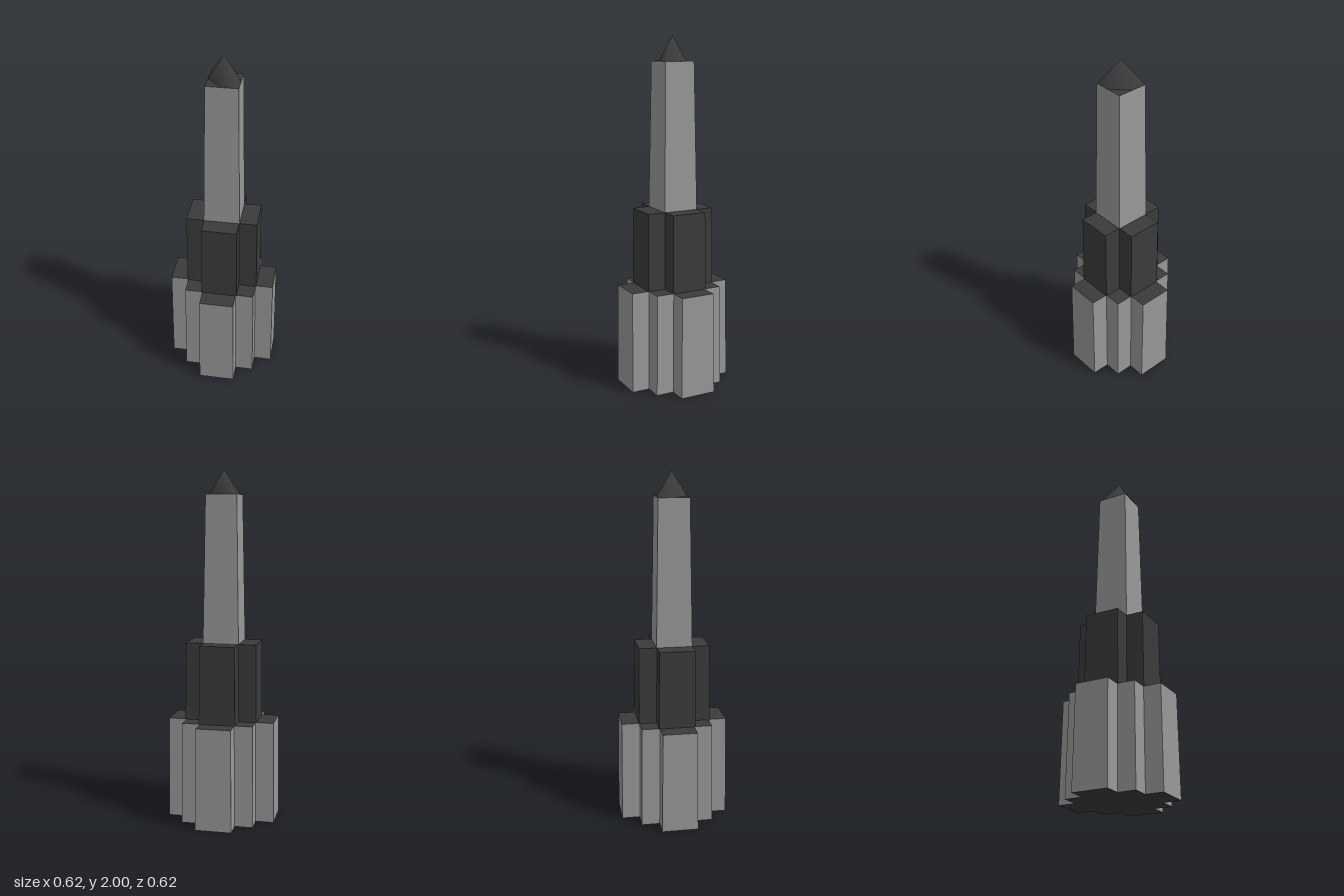
import * as THREE from 'three';
import { mergeVertices } from 'three/addons/utils/BufferGeometryUtils.js';

const grey = new THREE.MeshStandardMaterial({ color: 0x989898 });
const dark = new THREE.MeshStandardMaterial({ color: 0x3b3b3b });

// Repeat a quarter outline of [x, z] corners four times, drawn in by inset
function outline(quarter, inset) {
  const points = [];
  for (let k = 0; k < 4; k++) {
    for (const [a, b] of quarter) {
      let x = a - inset, z = b - inset;
      for (let i = 0; i < k; i++) [x, z] = [-z, x];
      points.push(new THREE.Vector2(x, z));
    }
  }
  return points;
}

// Tapered side walls between two outlines
function walls(lower, upper, y0, y1) {
  const positions = [];
  lower.forEach((p, i) => {
    const j = (i + 1) % lower.length;
    const q = lower[j], r = upper[i], s = upper[j];
    positions.push(
      p.x, y0, p.y, r.x, y1, r.y, q.x, y0, q.y,
      r.x, y1, r.y, s.x, y1, s.y, q.x, y0, q.y);
  });
  const geometry = new THREE.BufferGeometry();
  geometry.setAttribute('position', new THREE.Float32BufferAttribute(positions, 3));
  geometry.computeVertexNormals();
  return geometry;
}

// Flat cap facing up (+1) or down (-1)
function cap(points, y, facing) {
  return new THREE.ShapeGeometry(new THREE.Shape(points))
    .rotateX(-facing * Math.PI / 2).translate(0, y, 0);
}

function tier(name, quarter, inset, y0, y1, wallMaterial) {
  const group = new THREE.Group();
  group.name = name;
  const lower = outline(quarter, 0), upper = outline(quarter, inset);
  const add = (part, geometry, material) => {
    const mesh = new THREE.Mesh(geometry, material);
    mesh.name = name + part;
    group.add(mesh);
  };
  add('Walls', walls(lower, upper, y0, y1), wallMaterial);
  add('Roof', cap(upper, y1, 1), dark);
  add('Underside', cap(lower, y0, -1), dark);
  return group;
}

// Six-sided spire reaching two opposite corners of the shaft, smoothly shaded
function spire(r, y0, y1) {
  const base = [[r, 0], [r, r], [0, r], [-r, 0], [-r, -r], [0, -r]]
    .map(([x, z]) => new THREE.Vector2(x, z));
  const tip = base.map(() => new THREE.Vector2(0, 0));
  const sides = walls(base, tip, y0, y1);
  sides.deleteAttribute('normal');
  const geometry = mergeVertices(sides);
  geometry.computeVertexNormals();
  const mesh = new THREE.Mesh(geometry, dark);
  mesh.name = 'spire';
  return mesh;
}

export function createModel() {
  const model = new THREE.Group();
  model.name = 'steppedTower';

  // Stepped cross base, plain cross middle, slender square shaft, spire
  model.add(
    tier('base', [[0.31, 0.104], [0.207, 0.104], [0.207, 0.207], [0.104, 0.207], [0.104, 0.31]],
      0.006, 0, 0.585, grey),
    tier('middle', [[0.206, 0.104], [0.104, 0.104], [0.104, 0.206]],
      0.004, 0.585, 1.03, dark),
    tier('shaft', [[0.102, 0.102]], 0.014, 1.03, 1.86, grey),
    spire(0.088, 1.86, 2));

  return model;
}
